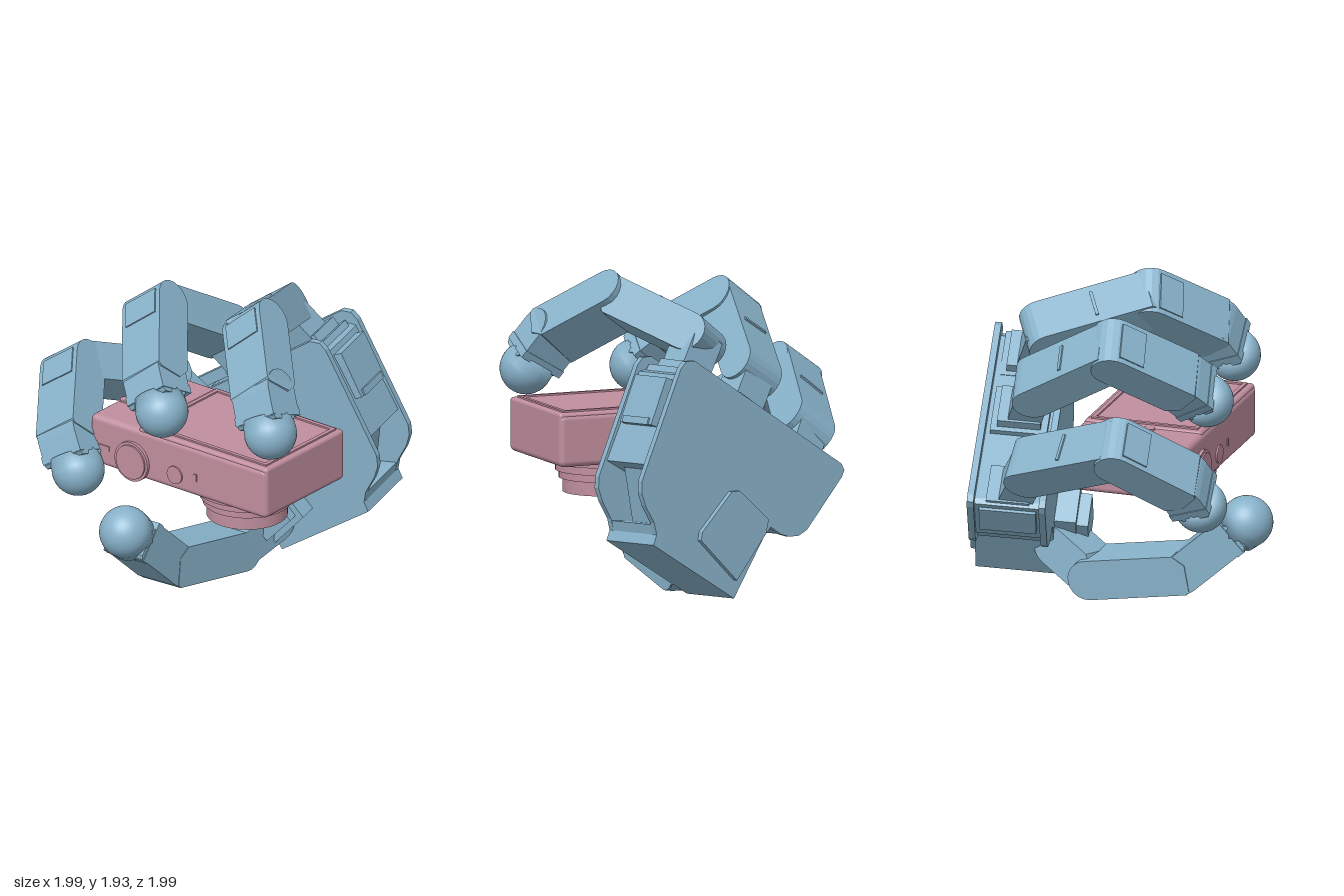
import * as THREE from 'three';
import { RoundedBoxGeometry } from 'three/addons/geometries/RoundedBoxGeometry.js';

const V = (x, y, z) => new THREE.Vector3(x, y, z);
const blue = new THREE.MeshStandardMaterial({ color: 0x88b2ca });
const pink = new THREE.MeshStandardMaterial({ color: 0xc08e9e });

function add(parent, name, geometry, material, x = 0, y = 0, z = 0) {
  const mesh = new THREE.Mesh(geometry, material);
  mesh.name = name;
  mesh.position.set(x, y, z);
  parent.add(mesh);
  return mesh;
}

function extrude(points, depth) {
  const shape = new THREE.Shape(points.map(([x, y]) => new THREE.Vector2(x, y)));
  return new THREE.ExtrudeGeometry(shape, { depth, bevelEnabled: false });
}

// Group whose local x runs along dir and whose local z runs along side
function frame(parent, name, origin, dir, side) {
  const g = new THREE.Group();
  g.name = name;
  const x = dir.clone().normalize();
  const z = side.clone().addScaledVector(x, -side.dot(x)).normalize();
  const y = z.clone().cross(x);
  g.quaternion.setFromRotationMatrix(new THREE.Matrix4().makeBasis(x, y, z));
  g.position.copy(origin);
  parent.add(g);
  return g;
}

// Palm frame: outlines are drawn facing front, then laid on the tilted palm plane
const palmMatrix = new THREE.Matrix4().makeBasis(
  V(1, 0, -0.225), V(0, 1, 0.063), V(0.22, -0.06, 0.974)).setPosition(0, 0, -0.392);
const U = V(0.81, 0.57, -0.147).normalize();
const UP = V(-0.56, 0.81, 0.17).normalize();

function palmPart(parent, name, points, from, to) {
  const geo = extrude(points, to - from).translate(0, 0, from).applyMatrix4(palmMatrix);
  add(parent, name, geo, blue);
}

function buildPalm(root) {
  const palm = new THREE.Group();
  palm.name = 'palm';
  root.add(palm);
  const outline = [[0.2, 0.05], [0.77, 0.42], [0.745, 0.48], [0.76, 0.55], [0.82, 0.66], [0.845, 0.74],
    [0.84, 0.81], [0.54, 1.45], [0.5, 1.49], [0.44, 1.49], [-0.6, 0.78], [-0.62, 0.74], [-0.6, 0.7],
    [-0.34, 0.41], [-0.28, 0.38], [-0.21, 0.38], [-0.15, 0.4], [-0.08, 0.45], [-0.03, 0.4]];
  palmPart(palm, 'palmFrontPlate', outline, -0.04, 0);
  palmPart(palm, 'palmBackPlate', outline, -0.47, -0.43);
  // Solid fill with a side window between the two blocks
  palmPart(palm, 'palmLowerBlock', [[0.2, 0.05], [0.77, 0.42], [0.745, 0.48], [0.755, 0.54],
    [0.4, 0.5], [-0.1, 0.55], [-0.3, 0.46], [-0.21, 0.39], [-0.08, 0.45], [-0.03, 0.4]], -0.44, -0.03);
  palmPart(palm, 'palmUpperBlock', [[0.78, 0.9], [0.53, 1.41], [0.46, 1.42], [-0.54, 0.74], [-0.56, 0.71],
    [-0.33, 0.45], [0.1, 0.48], [0.45, 0.7]], -0.44, -0.03);
  palmPart(palm, 'sidePanel', [[0.715, 1.13], [0.595, 1.4], [0.5, 1.36], [0.6, 1.08]], -0.4, -0.09);
  palmPart(palm, 'sidePanelLip', [[0.725, 1.13], [0.71, 1.17], [0.6, 1.13], [0.6, 1.09]], -0.37, -0.12);
  palmPart(palm, 'windowStrut', [[0.72, 0.86], [0.67, 0.52], [0.5, 0.5], [0.6, 0.85]], -0.32, -0.13);
  // Thumb drive, showing on both faces
  palmPart(palm, 'thumbMount', [[0.41, 0.37], [0.19, 0.63], [0.0, 0.45], [0.22, 0.16]], -0.01, 0.13);
  palmPart(palm, 'thumbMountStep', [[0.36, 0.37], [0.2, 0.57], [0.04, 0.42], [0.2, 0.2]], 0.12, 0.2);
  palmPart(palm, 'thumbDriveCover', [[0.45, 0.42], [0.44, 0.47], [0.22, 0.69], [0.16, 0.69], [-0.04, 0.5],
    [-0.02, 0.42], [0.2, 0.16]], -0.505, -0.46);
}

// One finger link with a rounded joint at its start
function buildLink(parent, name, a, b, side, width, h, tail) {
  const L = a.distanceTo(b);
  const g = frame(parent, name, a, b.clone().sub(a), side);
  const pts = [];
  for (let i = 0; i <= 10; i++) {
    const t = Math.PI * (0.5 + i / 10);
    pts.push([Math.cos(t) * h / 2, Math.sin(t) * h / 2]);
  }
  pts.push([L + tail - 0.07, -h / 2], [L + tail, -h / 4], [L + tail, h / 2 - 0.02], [L + tail - 0.02, h / 2]);
  add(g, name + 'Body', extrude(pts, width).translate(0, 0, -width / 2), blue);
  return g;
}

// Last link and round fingertip
function buildTip(parent, name, a, tip, side) {
  const L = a.distanceTo(tip);
  const g = buildLink(parent, name + 'EndLink', a, tip, side, 0.29, 0.24, -0.05);
  add(g, name + 'Collar', new THREE.BoxGeometry(0.05, 0.25, 0.3), blue, L - 0.1, 0, 0);
  const profile = [new THREE.Vector2(0, -0.09), new THREE.Vector2(0.15, -0.09)];
  for (let i = 0; i <= 16; i++) {
    const t = (i / 16) * Math.PI / 2;
    profile.push(new THREE.Vector2(0.158 * Math.cos(t), 0.158 * Math.sin(t)));
  }
  const dome = new THREE.LatheGeometry(profile, 32).rotateZ(-Math.PI / 2);
  add(g, name + 'Pad', dome, blue, L, 0, 0);
}

function buildFinger(root, name, points) {
  const finger = new THREE.Group();
  finger.name = name;
  root.add(finger);
  const [p0, p1, p2, tip] = points.map(p => V(...p));
  const side = U.clone().negate();
  // Stepped knuckle housing, set midway through the palm's thickness
  const base = p0.clone().addScaledVector(UP, -0.36);
  base.z = -0.63 - 0.225 * base.x + 0.063 * base.y;
  const k = frame(finger, name + 'Knuckle', base, UP, side);
  add(k, 'knuckleHousing', new THREE.BoxGeometry(0.2, 0.34, 0.32), blue, 0.0, 0, 0);
  add(k, 'knuckleStep', new THREE.BoxGeometry(0.14, 0.26, 0.26), blue, 0.09, 0, 0);
  buildLink(finger, name + 'KnuckleArm', base, p0, side, 0.22, 0.2, 0.04);
  // Two long links, with a ridge and a raised cover on their backs
  const first = buildLink(finger, name + 'FirstLink', p0, p1, side, 0.28, 0.24, 0.02);
  add(first, name + 'Ridge', new THREE.BoxGeometry(0.02, 0.02, 0.18), blue, p0.distanceTo(p1) * 0.5, 0.12, 0);
  const middle = buildLink(finger, name + 'MiddleLink', p1, p2, side, 0.305, 0.245, 0.03);
  add(middle, name + 'JointCover', new THREE.BoxGeometry(0.17, 0.02, 0.24), blue, 0.06, 0.12, 0);
  buildTip(finger, name, p2, tip, side);
}

function buildThumb(root) {
  const thumb = new THREE.Group();
  thumb.name = 'thumb';
  root.add(thumb);
  const base = V(0.14, 0.27, -0.36), p0 = V(0.05, 0.14, -0.12), p1 = V(0.03, 0.24, 0.47);
  const side = V(1, 0.05, 0);
  buildLink(thumb, 'thumbBase', base, p0, side, 0.25, 0.24, 0.02);
  buildLink(thumb, 'thumbFirstLink', p0, p1, side, 0.3, 0.245, 0.04);
  buildTip(thumb, 'thumb', p1, V(0.025, 0.57, 0.84), side);
}

function buildCamera(root) {
  const cam = new THREE.Group();
  cam.name = 'heldCamera';
  root.add(cam);
  add(cam, 'cameraBody', new RoundedBoxGeometry(1.34, 0.315, 0.76, 4, 0.035), pink, 0.23, 0.967, 0.22);
  add(cam, 'cameraBackPanel', new RoundedBoxGeometry(0.98, 0.1, 0.74, 3, 0.02), pink, 0.41, 1.085, 0.22);
  // Raised screen frame on the upward face
  const rect = (w, h, P) => new P([[-w, -h], [w, -h], [w, h], [-w, h]].map(p => new THREE.Vector2(...p)));
  const border = rect(0.455, 0.335, THREE.Shape);
  border.holes.push(rect(0.43, 0.31, THREE.Path));
  const ring = new THREE.ExtrudeGeometry(border, { depth: 0.015, bevelEnabled: false }).rotateX(-Math.PI / 2);
  add(cam, 'screenFrame', ring, pink, 0.41, 1.13, 0.22);
  // Controls beside the screen
  add(cam, 'controlDial', new THREE.CylinderGeometry(0.1, 0.1, 0.02, 32), pink, -0.25, 1.125, 0.22);
  for (const [x, z] of [[-0.39, 0.32], [-0.39, 0.17], [-0.11, 0.15], [-0.1, 0.27]])
    add(cam, 'controlButton', new THREE.CylinderGeometry(0.035, 0.035, 0.02, 20), pink, x, 1.125, z);
  // Controls on the front-facing edge
  const disc = (name, r, depth, x, y) => add(cam, name,
    new THREE.CylinderGeometry(r, r, depth, 32).rotateX(Math.PI / 2), pink, x, y, 0.6);
  disc('modeDial', 0.125, 0.04, -0.11, 0.91);
  disc('modeDialCap', 0.108, 0.06, -0.11, 0.91);
  disc('shutterButton', 0.056, 0.02, 0.21, 0.91);
  add(cam, 'powerSwitch', new THREE.BoxGeometry(0.02, 0.045, 0.012), pink, 0.365, 0.935, 0.6);
  add(cam, 'strapBar', new THREE.BoxGeometry(0.1, 0.03, 0.012), pink, -0.34, 0.935, 0.6);
  // Stepped lens pointing down, with a recessed front
  const steps = [[0, 0.64], [0.1, 0.64], [0.12, 0.61], [0.2, 0.595], [0.242, 0.595], [0.242, 0.68], [0.265, 0.68],
    [0.265, 0.725], [0.285, 0.725], [0.285, 0.775], [0.32, 0.775], [0.32, 0.83]];
  for (let i = 0; i < steps.length - 1; i++) {
    const pair = [steps[i], steps[i + 1]].map(p => new THREE.Vector2(...p));
    add(cam, 'lensRing', new THREE.LatheGeometry(pair, 48), pink, 0.455, 0, 0.22);
  }
  add(cam, 'lensShutter', new THREE.BoxGeometry(0.1, 0.02, 0.06), pink, 0.455, 0.635, 0.22);
}

export function createModel() {
  const root = new THREE.Group();
  root.name = 'robotHandWithCamera';
  buildPalm(root);
  buildFinger(root, 'outerFinger', [[-0.62, 0.99, -0.31], [-0.8, 1.22, 0.31], [-0.56, 0.97, 0.65], [-0.44, 0.8, 0.71]]);
  buildFinger(root, 'middleFinger', [[-0.23, 1.36, -0.41], [-0.325, 1.67, 0.12], [-0.05, 1.42, 0.47], [0.085, 1.28, 0.57]]);
  buildFinger(root, 'innerFinger', [[0.15, 1.58, -0.48], [0.42, 1.75, 0.1], [0.72, 1.51, 0.4], [0.84, 1.32, 0.48]]);
  buildThumb(root);
  buildCamera(root);
  return root;
}
